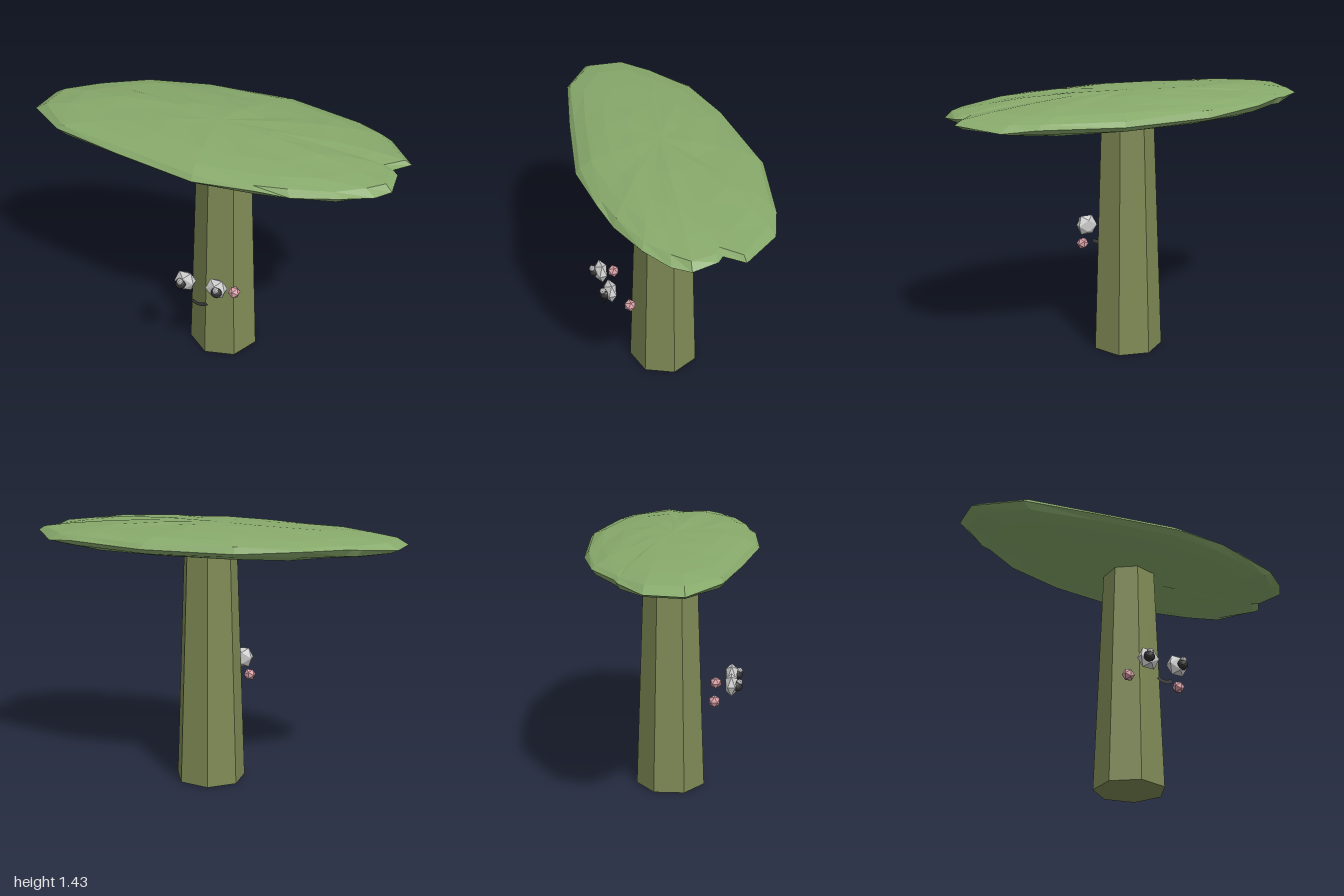
import * as THREE from 'three';

const mat = (color, extra = {}) =>
  new THREE.MeshStandardMaterial({ color, flatShading: true, ...extra });

// Repeatable value in -1..1 from two integers
const wobble = (a, b) => {
  const s = Math.sin(a * 12.99 + b * 78.23) * 43758.55;
  return (s - Math.floor(s)) * 2 - 1;
};

// Canopy rim as [x, z], running from -x through +z, +x and -z
const RIM = [
  [-1, 0.115], [-0.78, 0.28], [-0.4, 0.37], [0.05, 0.46], [0.37, 0.44],
  [0.54, 0.41], [0.77, 0.34], [0.91, 0.25], [0.97, 0.17], [0.96, 0.04],
  [0.93, 0.01], [1, -0.08], [0.84, -0.29], [0.68, -0.36], [0.26, -0.465],
  [-0.23, -0.44], [-0.57, -0.36], [-0.77, -0.23], [-0.82, -0.21], [-0.98, -0.08],
];

// Flattened, irregular faceted dome whose rings follow the rim outline
function canopyGeometry() {
  const cols = RIM.length, rows = 10;
  const geo = new THREE.SphereGeometry(1, cols, rows);
  const pos = geo.attributes.position;
  for (let i = 0; i < pos.count; i++) {
    const row = Math.floor(i / (cols + 1));
    const col = (i % (cols + 1)) % cols;
    const angle = (row / rows) * Math.PI;
    const pole = row === 0 || row === rows;
    const rim = row === rows / 2;
    const r = Math.sin(angle) * (rim || pole ? 1 : 1 + 0.015 * wobble(row, col));
    const lift = pole ? 0 : wobble(col, row + 3) * (rim ? 0.012 : 0.004);
    const [x, z] = RIM[col];
    pos.setXYZ(i, x * r, 1.346 + 0.083 * Math.cos(angle) + lift, z * r);
  }
  geo.computeVertexNormals();
  return geo;
}

export function createModel() {
  const model = new THREE.Group();
  const add = (name, geo, material, x = 0, y = 0, z = 0) => {
    const mesh = new THREE.Mesh(geo, material);
    mesh.name = name;
    mesh.position.set(x, y, z);
    model.add(mesh);
    return mesh;
  };
  const cx = 0.035; // trunk and face share this centre line

  // Seven-sided tapering trunk with a corner towards +x
  const trunk = add('trunk', new THREE.CylinderGeometry(0.145, 0.193, 1.3, 7),
    mat(0x7f8a55), cx, 0.65, -0.012);
  trunk.rotation.y = Math.PI / 2;

  add('canopy', canopyGeometry(), mat(0x87a96b));

  // Face, floating in front of the trunk
  const white = mat(0xdddddd), dark = mat(0x333333);
  const shine = mat(0xaaaaaa), pink = mat(0xd8a0a8);
  for (const [side, s] of [['left', 1], ['right', -1]]) {
    const eye = add(side + 'Eye', new THREE.IcosahedronGeometry(0.064),
      white, cx + s * 0.089, 0.606, 0.322);
    eye.scale.z = 0.6;
    add(side + 'Pupil', new THREE.IcosahedronGeometry(0.03, 1),
      dark, cx + s * 0.102, 0.604, 0.353);
    add(side + 'EyeHighlight', new THREE.IcosahedronGeometry(0.018, 1),
      shine, cx + s * 0.102, 0.625, 0.365);
    add(side + 'Cheek', new THREE.IcosahedronGeometry(0.034),
      pink, cx + s * 0.155, 0.533, 0.232);
  }

  // Thin curved smile
  const half = 0.74;
  add('mouth', new THREE.RingGeometry(0.052, 0.074, 8, 1, -Math.PI / 2 - half, half * 2),
    mat(0x3a3a3a, { side: THREE.DoubleSide }), cx, 0.55, 0.342);

  return model;
}
